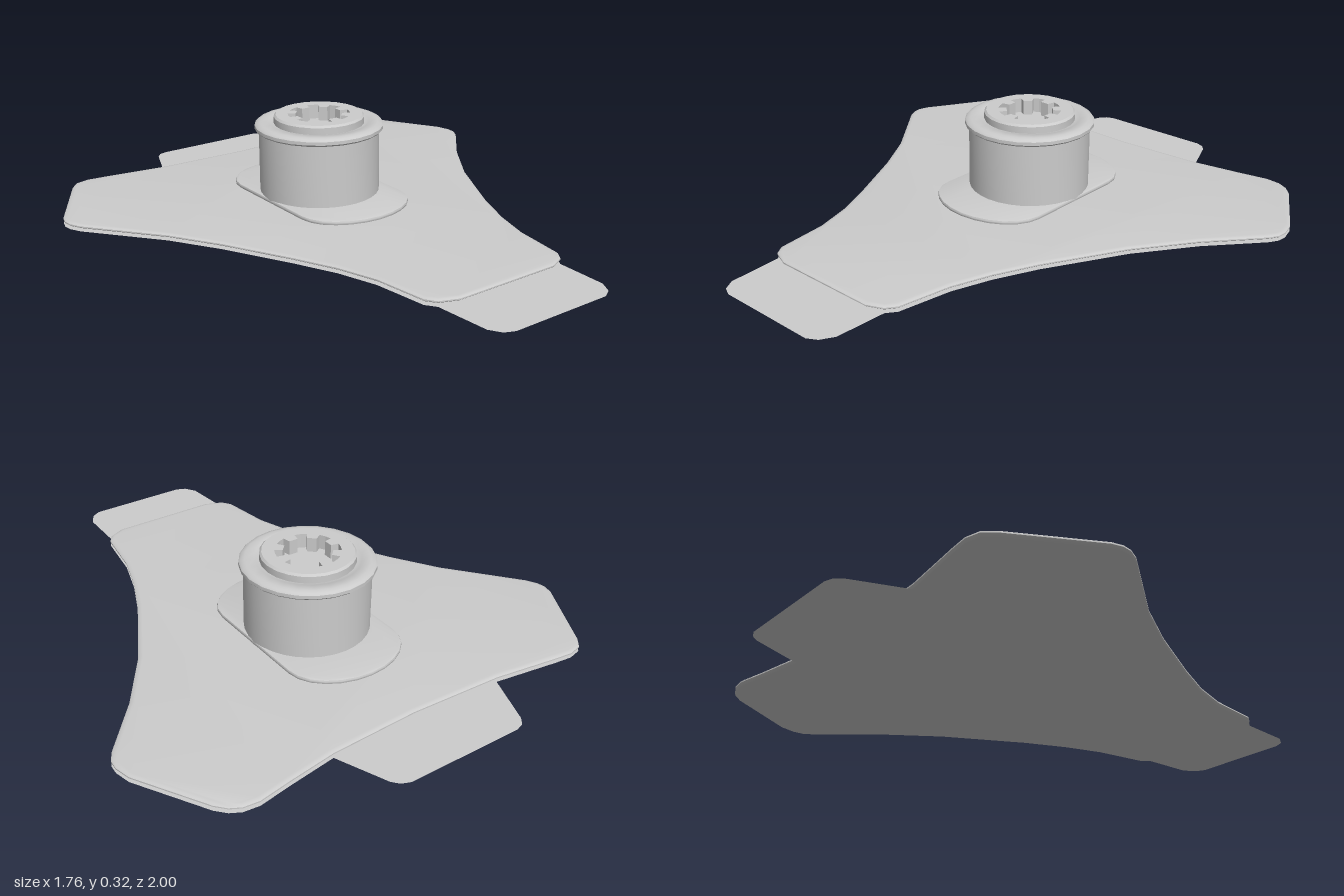
import * as THREE from 'three';
import { toCreasedNormals } from 'three/addons/utils/BufferGeometryUtils.js';

const grey = new THREE.MeshStandardMaterial({ color: 0xcccccc });
const thin = new THREE.MeshStandardMaterial({ color: 0xcccccc, side: THREE.DoubleSide });

// Plan outlines as [x, z], running front to back on the left, back to front on the right
const leftSide = [
  [0.245, 0.755], [0.27, 0.72], [0.3, 0.53], [0.345, 0.39], [0.41, 0.24], [0.56, -0.04], [0.7, -0.24],
  [0.855, -0.42], [0.875, -0.455], [0.878, -0.49], [0.865, -0.545], [0.73, -0.78], [0.70, -0.813],
  [0.665, -0.832], [0.61, -0.838], [0.5, -0.818], [0.32, -0.79],
];
const rightSide = [
  [-0.34, -0.787], [-0.575, -0.82], [-0.64, -0.827], [-0.69, -0.815], [-0.72, -0.78], [-0.87, -0.515],
  [-0.879, -0.48], [-0.875, -0.45], [-0.855, -0.41], [-0.655, -0.16], [-0.55, 0.01], [-0.43, 0.24],
  [-0.36, 0.39], [-0.315, 0.53], [-0.29, 0.72], [-0.265, 0.755],
];
const frontTab = [
  [-0.25, 0.945], [-0.225, 0.985], [-0.19, 1], [0.18, 1], [0.215, 0.98], [0.24, 0.935],
];
const backTab = [
  [0.25, -0.965], [0.23, -0.988], [0.2, -1], [-0.22, -1], [-0.25, -0.99], [-0.27, -0.965],
];

function planShape(points) {
  return new THREE.Shape(points.map(([x, z]) => new THREE.Vector2(x, -z)));
}

function addMesh(parent, name, geometry, material = grey, y = 0) {
  const mesh = new THREE.Mesh(geometry, material);
  mesh.name = name;
  mesh.position.y = y;
  parent.add(mesh);
  return mesh;
}

// Slab lying flat, base at local y = 0, with rounded rim kept inside the outline
function slab(shape, height, rim, crease = 0.7) {
  const t = height * 0.35;
  const g = new THREE.ExtrudeGeometry(shape, {
    depth: height - 2 * t, bevelThickness: t, bevelSize: rim, bevelOffset: -rim,
    bevelSegments: 2, curveSegments: 6,
  });
  g.rotateX(-Math.PI / 2).translate(0, t, 0);
  return toCreasedNormals(g, crease);
}

function lathe(profile, segments) {
  const g = new THREE.LatheGeometry(profile.map(([r, y]) => new THREE.Vector2(r, y)), segments);
  return toCreasedNormals(g, 0.7);
}

// Round socket with eight square teeth pointing inward
function socketOutline(inner, outer, teeth) {
  const pts = [];
  const step = (Math.PI * 2) / teeth;
  for (let i = 0; i < teeth; i++) {
    const a = i * step;
    [[inner, -0.25], [inner, 0.25], [outer, 0.25], [outer, 0.5], [outer, 0.75]].forEach(([r, f]) => {
      pts.push(new THREE.Vector2(Math.cos(a + f * step) * r, Math.sin(a + f * step) * r));
    });
  }
  return pts;
}

export function createModel() {
  const model = new THREE.Group();
  model.name = 'adhesiveSensorPatch';

  // Paper-thin liner with a pull tab at the front and the back
  const liner = new THREE.ShapeGeometry(
    planShape([...frontTab, ...leftSide, ...backTab, ...rightSide]));
  addMesh(model, 'liner', liner.rotateX(-Math.PI / 2), thin);

  // Three-lobed pad
  const pad = planShape([
    [-0.2, 0.78], [0.19, 0.78], ...leftSide, [0, -0.775], ...rightSide,
  ]);
  addMesh(model, 'pad', slab(pad, 0.014, 0.015), grey, 0.009);

  const puck = new THREE.Group();
  puck.name = 'puck';
  puck.position.set(-0.011, 0, -0.198);
  model.add(puck);

  // Oblong foot with elliptical ends
  const foot = new THREE.Shape();
  foot.moveTo(0.217, -0.2);
  foot.lineTo(0.217, 0.2);
  foot.absellipse(0, 0.2, 0.217, 0.16, 0, Math.PI, false);
  foot.lineTo(-0.217, -0.2);
  foot.absellipse(0, -0.2, 0.217, 0.16, Math.PI, Math.PI * 2, false);
  addMesh(puck, 'foot', slab(foot, 0.016, 0.006), grey, 0.021);

  // Barrel
  addMesh(puck, 'barrel', lathe([[0.217, 0.02], [0.217, 0.268]], 32));

  // Rounded flange around the top of the barrel
  addMesh(puck, 'flange', lathe([
    [0.2, 0.264], [0.226, 0.264], [0.232, 0.27], [0.232, 0.282], [0.226, 0.288], [0.212, 0.292],
    [0.18, 0.292], [0.174, 0.287], [0.15, 0.287],
  ], 24));

  // Cap ring, open in the middle
  addMesh(puck, 'capRim', lathe([
    [0.163, 0.28], [0.163, 0.311], [0.156, 0.318], [0.148, 0.318],
  ], 24));

  // Cap with toothed socket
  const cap = new THREE.Shape();
  cap.absarc(0, 0, 0.15, 0, Math.PI * 2, false);
  cap.holes.push(new THREE.Path(socketOutline(0.084, 0.112, 8).reverse()));
  const capGeometry = new THREE.ExtrudeGeometry(cap, {
    depth: 0.053, bevelEnabled: false, curveSegments: 24,
  });
  addMesh(puck, 'cap', capGeometry.rotateX(-Math.PI / 2), grey, 0.265);

  // Floor of the socket
  const floor = new THREE.CircleGeometry(0.217, 32).rotateX(-Math.PI / 2);
  addMesh(puck, 'socketFloor', floor, grey, 0.266);

  return model;
}
